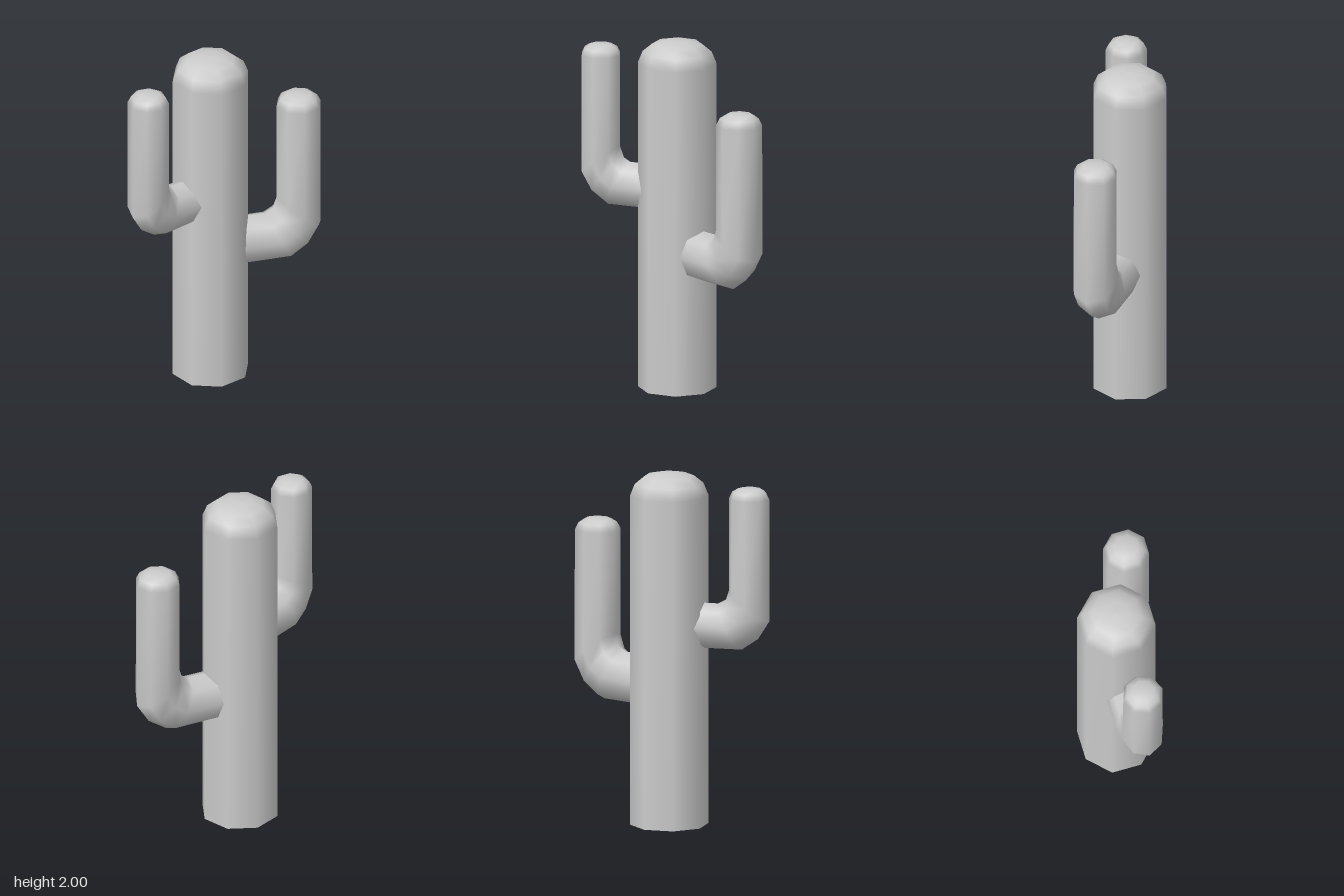
import * as THREE from 'three';

const SIDES = 8;
const material = new THREE.MeshStandardMaterial({ color: 0xcccccc, side: THREE.DoubleSide });

// Each ring: [outerX, outerY, innerX, innerY, half width in z]
const ARM_RINGS = [
  [0.05, -0.1425, 0.05, 0.1425, 0.13],
  [0.465, -0.1425, 0.315, 0.1425, 0.13],
  [0.57, -0.07, 0.365, 0.17, 0.13],
  [0.642, 0.045, 0.385, 0.235, 0.13],
  [0.642, 0.815, 0.385, 0.815, 0.1285],
  [0.622, 0.855, 0.405, 0.855, 0.1085],
  [0.585, 0.877, 0.442, 0.877, 0.0715],
];
const ARM_TIP = [0.5135, 0.883, 0];

// Bent tube skinned through the rings and closed at the tip
function armGeometry() {
  const positions = [];
  const index = [];
  for (const [ox, oy, ix, iy, w] of ARM_RINGS) {
    for (let k = 0; k < SIDES; k++) {
      const a = (k / SIDES) * Math.PI * 2;
      const c = Math.cos(a) / 2;
      positions.push((ox + ix) / 2 + (ox - ix) * c, (oy + iy) / 2 + (oy - iy) * c, w * Math.sin(a));
    }
  }
  positions.push(...ARM_TIP);
  const last = ARM_RINGS.length - 1;
  for (let r = 0; r <= last; r++) {
    for (let k = 0; k < SIDES; k++) {
      const a = r * SIDES + k;
      const b = r * SIDES + ((k + 1) % SIDES);
      if (r < last) index.push(a, a + SIDES, b, b, a + SIDES, b + SIDES);
      else index.push(a, (last + 1) * SIDES, b);
    }
  }
  const g = new THREE.BufferGeometry();
  g.setAttribute('position', new THREE.Float32BufferAttribute(positions, 3));
  g.setIndex(index);
  g.computeVertexNormals();
  return g;
}

export function createModel() {
  const cactus = new THREE.Group();
  cactus.name = 'cactus';

  // Trunk: eight-sided column with a rounded top and an open base
  const profile = [
    [0.22, 0], [0.22, 1.87], [0.193, 1.937], [0.14, 1.98], [0.07, 1.996], [0, 2],
  ].map(([x, y]) => new THREE.Vector2(x, y));
  const trunk = new THREE.Mesh(new THREE.LatheGeometry(profile, SIDES), material);
  trunk.name = 'trunk';
  trunk.position.set(-0.06, 0, -0.043);
  cactus.add(trunk);

  // Arms: the same bent shape, turned and scaled around the trunk axis
  const geometry = armGeometry();
  const addArm = (name, y, turn, scale) => {
    const arm = new THREE.Mesh(geometry, material);
    arm.name = name;
    arm.position.set(-0.06, y, -0.043);
    arm.rotation.y = turn;
    arm.scale.setScalar(scale);
    cactus.add(arm);
  };
  addArm('leftArm', 0.7975, 0, 1);
  addArm('rightArm', 1.14, Math.PI + 0.43, 0.9);

  return cactus;
}
